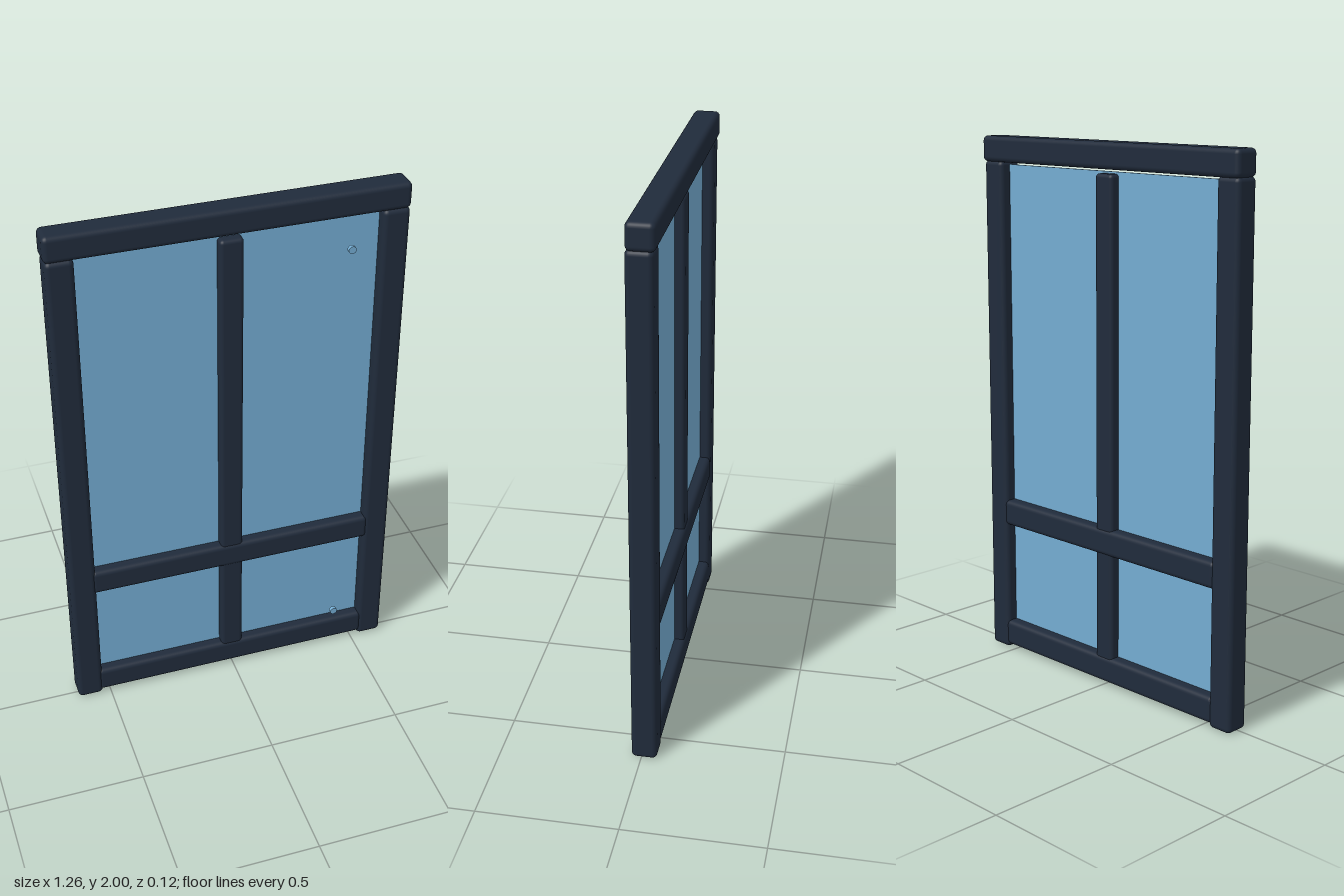
import * as THREE from 'three';
import { RoundedBoxGeometry } from 'three/addons/geometries/RoundedBoxGeometry.js';

export function createModel() {
  const group = new THREE.Group();
  const frame = new THREE.MeshStandardMaterial({ color: 0x202b3b });
  frame.name = 'dark slate frame';
  const glass = new THREE.MeshStandardMaterial({ color: 0x74acd2 });
  glass.name = 'blue glass';

  const add = (name, geometry, material, x, y, z) => {
    const mesh = new THREE.Mesh(geometry, material);
    mesh.name = name;
    mesh.position.set(x, y, z);
    group.add(mesh);
  };

  // Soft-edged bar given by its extents
  const bar = (name, x0, x1, y0, y1, z0, z1, radius = 0.018) =>
    add(name, new RoundedBoxGeometry(x1 - x0, y1 - y0, z1 - z0, 3, radius), frame,
      (x0 + x1) / 2, (y0 + y1) / 2, (z0 + z1) / 2);

  // Outer frame
  bar('topRail', -0.63, 0.63, 1.905, 2, -0.063, 0.034);
  bar('leftStile', 0.53, 0.627, 0, 1.91, -0.056, 0.036);
  bar('rightStile', -0.627, -0.53, 0, 1.91, -0.056, 0.036);
  bar('bottomRail', -0.545, 0.545, 0.013, 0.112, -0.055, 0.034);

  // Dividing bars
  bar('crossRail', -0.545, 0.545, 0.507, 0.606, -0.055, 0.035);
  bar('lowerMullion', -0.044, 0.04, 0.095, 0.525, -0.05, 0.03, 0.014);
  bar('upperMullion', -0.044, 0.04, 0.59, 1.889, -0.05, 0.03, 0.014);

  // Glass pane, with a narrow gap below the top rail
  add('glassPane', new THREE.BoxGeometry(1.08, 1.8, 0.008), glass, 0, 0.996, -0.01);

  // Small studs in front of the pane
  for (const [name, y] of [['upperStud', 1.798], ['lowerStud', 0.18]]) {
    const stud = new THREE.CylinderGeometry(0.014, 0.014, 0.014, 16);
    stud.rotateX(Math.PI / 2);
    add(name, stud, glass, 0.411, y, 0.054);
  }
  return group;
}
